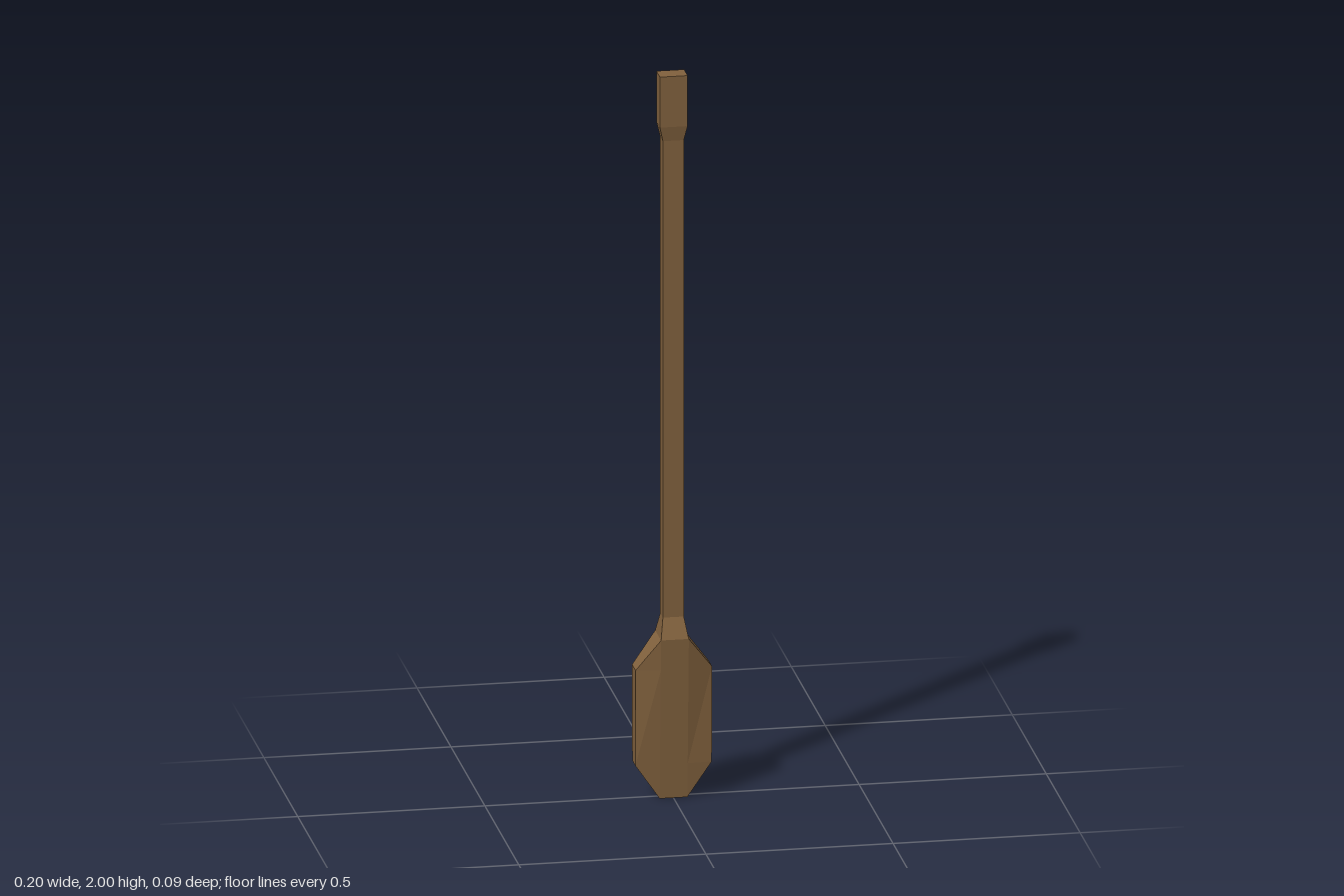
import * as THREE from 'three';

// Eight-point outline: flat centre strip (cx, cz) with thinner side edges (ex, ez)
function ring([y, cx, cz, ex = cx, ez = cz]) {
  return [[ex, ez], [ex, -ez], [cx, -cz], [-cx, -cz], [-ex, -ez], [-ex, ez], [-cx, cz], [cx, cz]]
    .map(([x, z]) => new THREE.Vector3(x, y, z));
}

// Skin a stack of outlines, bottom to top, with optional end caps
function loft(sections, capBottom, capTop) {
  const rings = sections.map(ring);
  const points = [];
  const tri = (a, b, c) => {
    const area = b.clone().sub(a).cross(c.clone().sub(a)).length();
    if (area > 1e-9) points.push(a, b, c);
  };
  for (let r = 0; r < rings.length - 1; r++) {
    const lo = rings[r], hi = rings[r + 1];
    for (let i = 0; i < 8; i++) {
      const j = (i + 1) % 8;
      tri(lo[i], lo[j], hi[j]);
      tri(lo[i], hi[j], hi[i]);
    }
  }
  const bottom = rings[0], top = rings[rings.length - 1];
  for (let i = 1; i < 7; i++) {
    if (capBottom) tri(bottom[0], bottom[i + 1], bottom[i]);
    if (capTop) tri(top[0], top[i], top[i + 1]);
  }
  const geometry = new THREE.BufferGeometry().setFromPoints(points);
  geometry.computeVertexNormals();
  return geometry;
}

export function createModel() {
  const group = new THREE.Group();
  group.name = 'paddle';
  const wood = new THREE.MeshStandardMaterial({ color: 0x82623e, flatShading: true });
  wood.name = 'brown wood';

  const add = (name, sections, capBottom, capTop) => {
    const mesh = new THREE.Mesh(loft(sections, capBottom, capTop), wood);
    mesh.name = name;
    group.add(mesh);
  };

  // Blade: thick at the shoulder, thinning towards the tip and edges
  add('blade', [
    [0, 0.037, 0.022],
    [0.095, 0.037, 0.027, 0.102, 0.023],
    [0.36, 0.037, 0.04, 0.102, 0.026],
    [0.445, 0.037, 0.044],
    [0.5, 0.028, 0.02],
  ], true, false);

  // Straight square shaft
  add('shaft', [[0.5, 0.028, 0.02], [1.82, 0.028, 0.02]], false, false);

  // Flared grip
  add('grip', [[1.82, 0.028, 0.02], [1.86, 0.037, 0.026], [2, 0.037, 0.026]], false, true);

  return group;
}
